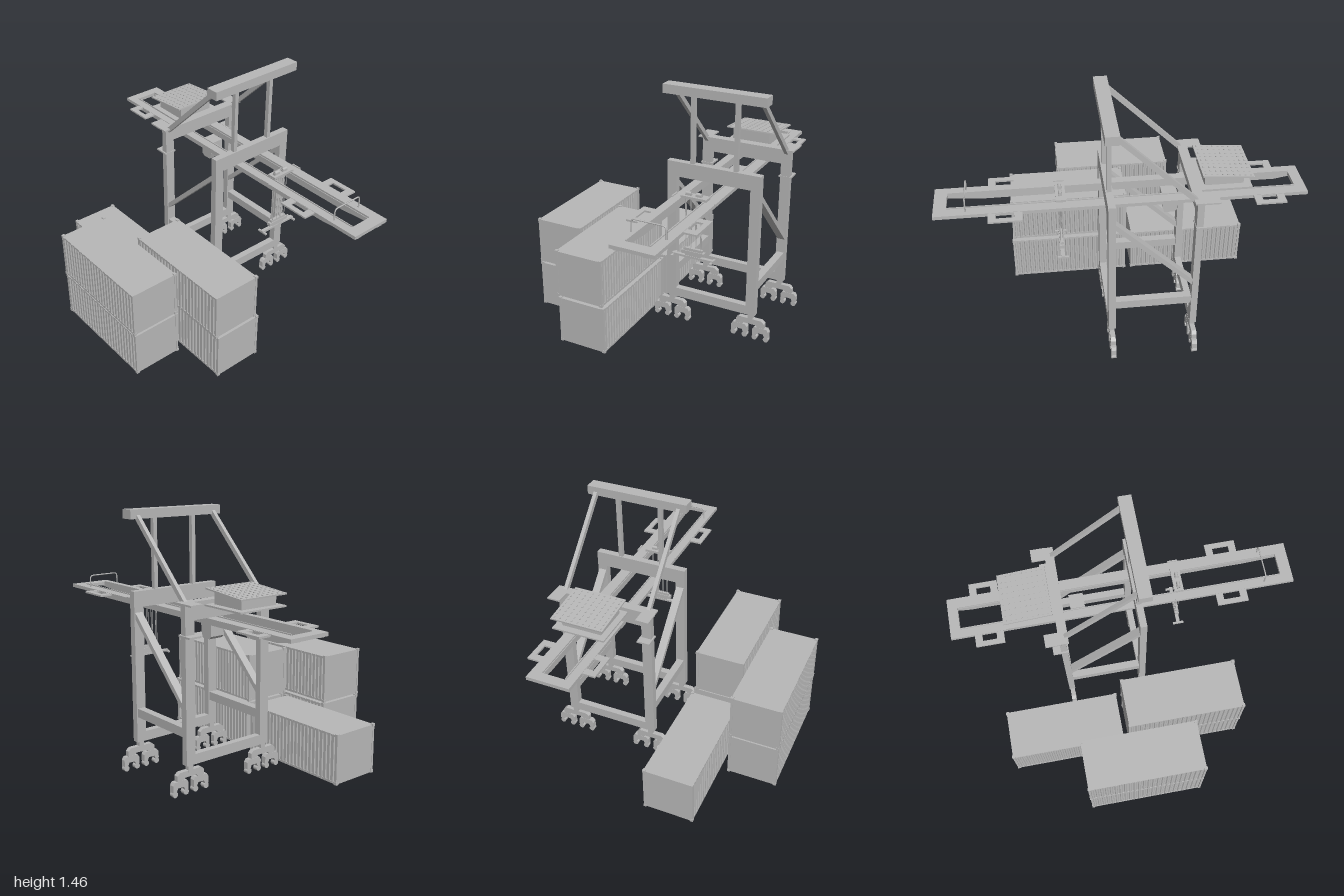
import * as THREE from 'three';

const paint = new THREE.MeshStandardMaterial({ color: 0xb8b8b8 });
paint.name = 'light grey paint';

const ZC = -0.337; // centre line of the crane
const LEG_Z = [-0.084, -0.59];

function add(parent, name, geometry) {
  const mesh = new THREE.Mesh(geometry, paint);
  mesh.name = name;
  parent.add(mesh);
  return mesh;
}

// box given by its limits
function box(parent, name, x0, x1, y0, y1, z0, z1) {
  const m = add(parent, name, new THREE.BoxGeometry(x1 - x0, y1 - y0, z1 - z0));
  m.position.set((x0 + x1) / 2, (y0 + y1) / 2, (z0 + z1) / 2);
  return m;
}

// sloping bar in the x-y plane
function brace(parent, name, xa, ya, xb, yb, z, thick, width) {
  const m = add(parent, name, new THREE.BoxGeometry(Math.hypot(xb - xa, yb - ya), thick, width));
  m.position.set((xa + xb) / 2, (ya + yb) / 2, z);
  m.rotation.z = Math.atan2(yb - ya, xb - xa);
}

const shapeOf = pts => new THREE.Shape(pts.map(p => new THREE.Vector2(p[0], p[1])));
const extrude = (shape, depth) => new THREE.ExtrudeGeometry(shape, { depth, bevelEnabled: false });

// flat plate drawn in x-z, top at the given height
function plate(parent, name, shape, top, thick) {
  const m = add(parent, name, extrude(shape, thick).rotateX(Math.PI / 2));
  m.position.y = top;
}

const rect = (x0, x1, z0, z1) => [[x0, z0], [x1, z0], [x1, z1], [x0, z1]];

function frameShape(outer, inner) {
  const s = shapeOf(rect(...outer));
  s.holes.push(new THREE.Path(rect(...inner).reverse().map(p => new THREE.Vector2(p[0], p[1]))));
  return s;
}

// arched yoke of a bogie, drawn in z-y
function yoke(parent, x, z, half, y0, y1, foot, width) {
  const h = y1 - y0;
  const pts = [[-half, 0], [-half + foot, 0], [-half + foot * 1.4, h * 0.35], [half - foot * 1.4, h * 0.35],
    [half - foot, 0], [half, 0], [half, h * 0.7], [half - foot * 0.5, h], [-half + foot * 0.5, h], [-half, h * 0.7]];
  const m = add(parent, 'bogieYoke', extrude(shapeOf(pts), width).translate(0, 0, -width / 2).rotateY(Math.PI / 2));
  m.position.set(x, y0, z);
}

function bogie(x, z) {
  const g = new THREE.Group();
  g.name = 'bogie';
  box(g, 'pivot', x - 0.015, x + 0.015, 0.12, 0.16, z - 0.015, z + 0.015);
  yoke(g, x, z, 0.087, 0.078, 0.131, 0.036, 0.028);
  for (const s of [-1, 1]) {
    const c = z + s * 0.066;
    yoke(g, x, c, 0.049, 0.03, 0.085, 0.022, 0.03);
    for (const t of [-1, 1]) {
      const w = add(g, 'wheel', new THREE.CylinderGeometry(0.016, 0.016, 0.03, 16).rotateZ(Math.PI / 2));
      w.position.set(x, 0.017, c + t * 0.035);
    }
  }
  return g;
}

// shipping container with corrugated long sides
function container(x0, y0, z0) {
  const g = new THREE.Group();
  g.name = 'container';
  const L = 0.705, W = 0.3, H = 0.287, n = 24, p = 0.014, d = 0.008;
  const step = (L - 2 * p) / n, side = [];
  for (let i = 0; i < n; i++) {
    const a = p + i * step;
    side.push([a, d], [a + step * 0.35, d], [a + step * 0.5, 0.002], [a + step * 0.85, 0.002]);
  }
  side.push([L - p, d]);
  const outline = side.concat(side.map(q => [L - q[0], W - q[1]]));
  plate(g, 'corrugatedWalls', shapeOf(outline), H - 0.008, H - 0.014);
  box(g, 'floor', 0.004, L - 0.004, 0.003, 0.016, 0.003, W - 0.003);
  box(g, 'roof', 0.004, L - 0.004, H - 0.018, H - 0.006, 0.003, W - 0.003);
  for (const x of [0.002, L - 0.016]) {
    box(g, 'endWall', x + 0.002, x + 0.012, 0.01, H - 0.01, 0.01, W - 0.01);
    for (const z of [0.002, W - 0.016]) {
      box(g, 'cornerPost', x, x + 0.014, 0.004, H - 0.004, z, z + 0.014);
      for (const y of [0, H - 0.016])
        box(g, 'cornerCasting', x - 0.002, x + 0.016, y, y + 0.016, z - 0.002, z + 0.016);
    }
  }
  g.position.set(x0, y0, z0);
  return g;
}

export function createModel() {
  const model = new THREE.Group();
  model.name = 'containerCrane';

  // portal frames
  const portal = new THREE.Group();
  portal.name = 'portal';
  model.add(portal);
  for (const [x0, x1] of [[-0.4, -0.363], [0.06, 0.1]]) {
    for (const z of LEG_Z) {
      box(portal, 'leg', x0, x1, 0.157, 1.015, z - 0.029, z + 0.029);
      portal.add(bogie((x0 + x1) / 2, z));
    }
    box(portal, 'sillBeam', x0, x1, 0.157, 0.213, -0.6, -0.07);
    box(portal, 'crossBeam', x0, x1, 0.927, 1.015, -0.6, -0.07);
  }
  for (const z of LEG_Z) {
    const s = Math.sign(z - ZC);
    box(portal, 'sideBeam', -0.37, 0.07, 0.305, 0.355, z - 0.022, z + 0.022);
    brace(portal, 'lowerBrace', 0.08, 0.9, -0.38, 0.445, z, 0.026, 0.046);
    brace(portal, 'upperBrace', 0.07, 1.435, -0.37, 1.0, z + s * 0.001, 0.027, 0.022);
    box(portal, 'mastPost', 0.067, 0.093, 1.01, 1.41, ZC + s * 0.13 - 0.012, ZC + s * 0.13 + 0.012);
    box(portal, 'legStep', -0.445, -0.36, 0.842, 0.852, z - 0.038, z + 0.038);
    box(portal, 'landing', -0.478, -0.39, 1.012, 1.021, ZC + s * 0.267 - 0.038, ZC + s * 0.267 + 0.038);
  }
  box(portal, 'legWalkway', -0.4, -0.346, 1.012, 1.021, -0.64, -0.034);
  box(portal, 'mastBeam', 0.042, 0.117, 1.405, 1.456, -0.64, -0.034);

  // boom
  const boom = new THREE.Group();
  boom.name = 'boom';
  model.add(boom);
  plate(boom, 'boomDeck', frameShape([-1, 1, -0.467, -0.22], [-0.942, 0.932, -0.405, -0.275]), 0.922, 0.02);
  const girder = shapeOf([[-0.998, 0.9], [-0.87, 0.877], [0.745, 0.877], [0.998, 0.897], [0.998, 0.915], [-0.998, 0.915]]);
  for (const z of [-0.433, -0.272]) add(boom, 'girder', extrude(girder, 0.032)).position.z = z;
  for (const z of [-0.405, -0.272]) box(boom, 'trolleyRail', -0.94, 0.93, 0.92, 0.928, z - 0.003, z + 0.003);
  for (const [x0, x1] of [[-0.865, -0.7], [0.535, 0.715]])
    for (const s of [-1, 1]) {
      const z = [ZC - 0.007 + s * 0.12, ZC - 0.007 + s * 0.197].sort((a, b) => a - b);
      const h = [ZC - 0.007 + s * 0.126, ZC - 0.007 + s * 0.167].sort((a, b) => a - b);
      plate(boom, 'sidePlatform', frameShape([x0, x1, ...z], [x0 + 0.042, x1 - 0.042, ...h]), 0.92, 0.01);
    }
  const hoop = new THREE.CurvePath();
  const V = (y, z) => new THREE.Vector3(0.83, y, z);
  hoop.add(new THREE.LineCurve3(V(0.915, -0.437), V(0.97, -0.437)));
  hoop.add(new THREE.QuadraticBezierCurve3(V(0.97, -0.437), V(0.992, -0.437), V(0.992, -0.415)));
  hoop.add(new THREE.LineCurve3(V(0.992, -0.415), V(0.992, -0.267)));
  hoop.add(new THREE.QuadraticBezierCurve3(V(0.992, -0.267), V(0.992, -0.245), V(0.97, -0.245)));
  hoop.add(new THREE.LineCurve3(V(0.97, -0.245), V(0.915, -0.245)));
  add(boom, 'boomHoop', new THREE.TubeGeometry(hoop, 40, 0.004, 8));

  // machinery house
  const house = new THREE.Group();
  house.name = 'machineryHouse';
  model.add(house);
  box(house, 'houseFloor', -0.68, -0.4, 0.991, 1.0, -0.495, -0.19);
  const wall = shapeOf([[-0.64, 1], [-0.43, 1], [-0.43, 1.08], [-0.64, 1.062]]);
  add(house, 'houseWalls', extrude(wall, 0.23)).position.z = -0.455;
  const roof = new THREE.Group();
  roof.name = 'houseRoof';
  house.add(roof);
  box(roof, 'roofPanel', -0.138, 0.138, -0.004, 0.004, -0.152, 0.152);
  for (let i = 0; i < 9; i++)
    for (let j = 0; j < 9; j++) {
      const x = (i - 4) * 0.03, z = (j - 4) * 0.034;
      box(roof, 'roofStud', x - 0.005, x + 0.005, 0.003, 0.008, z - 0.003, z + 0.003);
    }
  roof.position.set(-0.547, 1.071, -0.344);
  roof.rotation.z = 0.085;

  // operator cabin
  const cabin = shapeOf([[-0.305, 0.895], [-0.305, 0.795], [-0.29, 0.78], [-0.235, 0.78], [-0.222, 0.82], [-0.22, 0.895]]);
  add(model, 'operatorCabin', extrude(cabin, 0.087)).position.z = -0.38;

  // trolley, ropes and spreader
  const trolley = new THREE.Group();
  trolley.name = 'trolley';
  model.add(trolley);
  plate(trolley, 'trolleyFrame', frameShape([0.303, 0.357, -0.42, -0.27], [0.32, 0.34, -0.308, -0.285]), 0.94, 0.014);
  for (const z of [-0.47, -0.22]) box(trolley, 'trolleyEnd', 0.3, 0.36, 0.918, 0.928, z - 0.004, z + 0.004);
  for (const z of [-0.367, -0.307]) {
    box(trolley, 'winch', 0.321, 0.341, 0.935, 0.95, z - 0.017, z + 0.017);
    const drum = add(trolley, 'winchDrum', new THREE.CylinderGeometry(0.01, 0.01, 0.03, 16).rotateX(Math.PI / 2));
    drum.position.set(0.331, 0.95, z);
  }
  for (const z of [-0.383, -0.352, -0.322, -0.291])
    for (const x of [0.326, 0.339]) {
      const rope = add(trolley, 'rope', new THREE.CylinderGeometry(0.002, 0.002, 0.32, 6));
      rope.position.set(x, 0.775, z);
    }
  box(trolley, 'headBlockTop', 0.324, 0.341, 0.61, 0.63, -0.393, -0.281);
  box(trolley, 'headBlock', 0.32, 0.345, 0.595, 0.615, -0.405, -0.268);
  box(trolley, 'spreaderNeck', 0.325, 0.34, 0.58, 0.597, -0.383, -0.291);
  box(trolley, 'spreader', 0.322, 0.343, 0.572, 0.584, -0.46, -0.213);
  for (const z of [-0.452, -0.221]) box(trolley, 'spreaderEnd', 0.3, 0.365, 0.568, 0.577, z - 0.006, z + 0.006);

  // container stacks
  for (const [x, y, z] of [[-0.817, 0, 0.066], [-0.082, 0, 0.066], [-0.088, 0.29, 0.079],
    [-0.386, 0, 0.405], [-0.388, 0.29, 0.408]]) model.add(container(x, y, z));

  return model;
}
